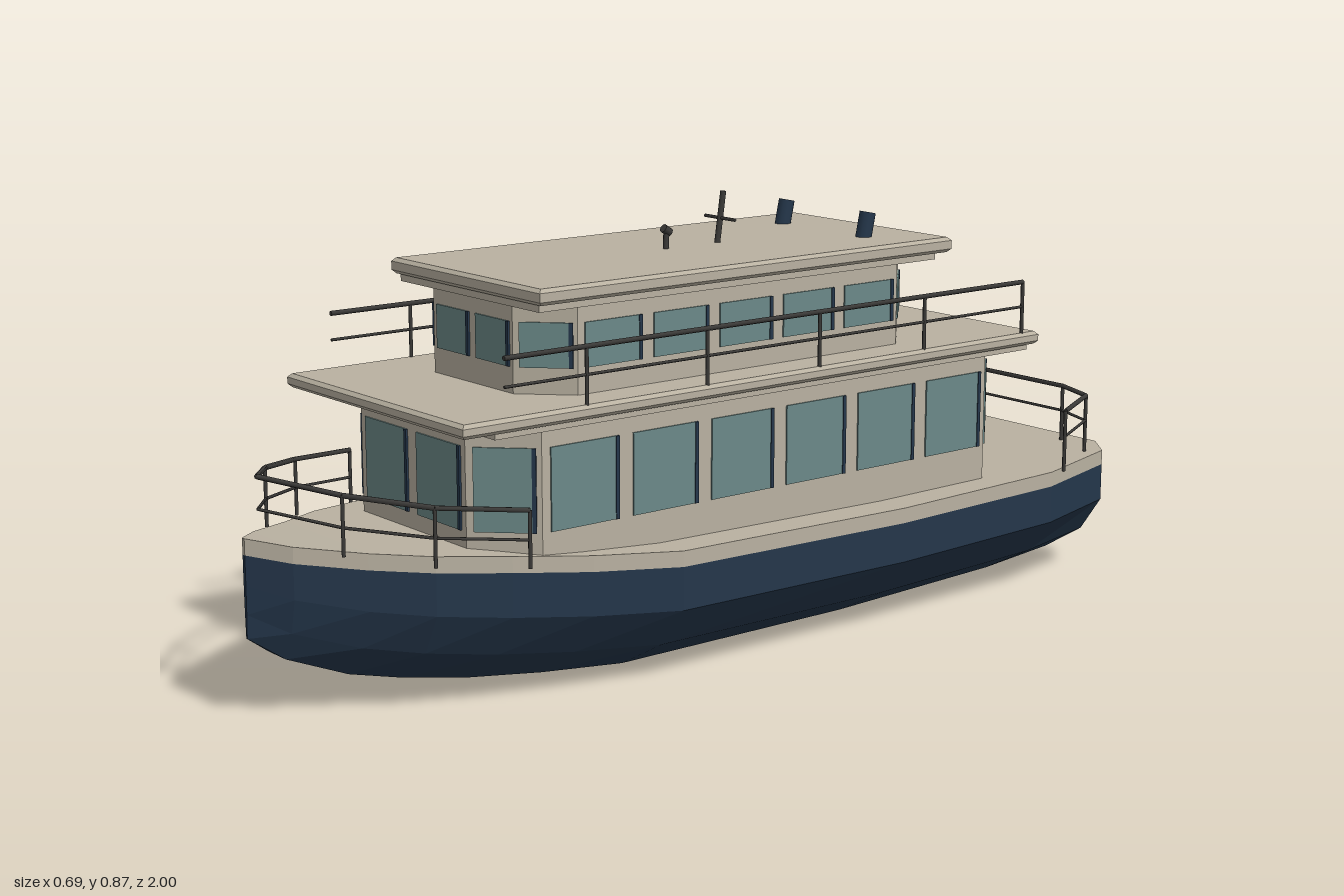
import * as THREE from 'three';

const mat = (name, color) => {
  const m = new THREE.MeshStandardMaterial({ color });
  m.name = name;
  return m;
};

export function createModel() {
  const cream = mat('cream paint', 0xb9b1a1);
  const navy = mat('navy paint', 0x24364a);
  const glass = mat('teal glass', 0x6b8988);
  const metal = mat('dark metal', 0x3b3a38);

  const boat = new THREE.Group();
  boat.name = 'passengerBoat';

  const add = (parent, name, geo, material, x = 0, y = 0, z = 0) => {
    const m = new THREE.Mesh(geo, material);
    m.name = name;
    m.position.set(x, y, z);
    parent.add(m);
    return m;
  };

  // Faceted skin over rings that run counterclockwise seen from +z
  const loft = (rings) => {
    const pos = [];
    const tri = (a, b, c) => pos.push(...a, ...b, ...c);
    const n = rings[0].length;
    for (let i = 0; i < rings.length - 1; i++) {
      for (let j = 0; j < n; j++) {
        const k = (j + 1) % n;
        const a = rings[i][j], b = rings[i][k], c = rings[i + 1][k], d = rings[i + 1][j];
        tri(a, b, d);
        tri(b, c, d);
      }
    }
    const first = rings[0], last = rings[rings.length - 1];
    for (let j = 1; j < n - 1; j++) {
      tri(first[0], first[j + 1], first[j]);
      tri(last[0], last[j], last[j + 1]);
    }
    const g = new THREE.BufferGeometry();
    g.setAttribute('position', new THREE.Float32BufferAttribute(pos, 3));
    g.computeVertexNormals();
    return g;
  };

  // Hull stations: z, half beam, keel height, deck height
  const stations = [
    [-1, 0.22, 0.022, 0.27], [-0.95, 0.285, 0.02, 0.268], [-0.74, 0.333, 0.012, 0.26],
    [-0.3, 0.346, 0, 0.256], [0.27, 0.346, 0, 0.266], [0.45, 0.307, 0.014, 0.28],
    [0.6, 0.263, 0.03, 0.295], [0.73, 0.21, 0.05, 0.306], [0.83, 0.145, 0.07, 0.315],
    [0.94, 0.07, 0.112, 0.33], [1, 0.004, 0.155, 0.342],
  ];
  const STRAKE = 0.031;
  // Cross-section as fractions of half beam and hull height
  const profile = [[0.45, 0], [0.81, 0.29], [1, 0.64], [1, 1]];
  const hullRings = stations.map(([z, b, keel, deck]) => {
    const h = deck - STRAKE - keel;
    const half = profile.map(([fx, fy]) => [fx * b, keel + fy * h, z]);
    return [...half, ...half.map(([x, y]) => [-x, y, z]).reverse()];
  });
  add(boat, 'hull', loft(hullRings), navy);
  const deckRings = stations.map(([z, b, , deck]) => [
    [-b, deck - STRAKE, z], [b, deck - STRAKE, z], [b, deck, z], [-b, deck, z],
  ]);
  add(boat, 'deckAndStrake', loft(deckRings), cream);

  // Upright prism from a plan outline of [x, z] points
  const prism = (plan, y0, y1, bevel = 0) => {
    const shape = new THREE.Shape(plan.map(([x, z]) => new THREE.Vector2(x, -z)));
    const g = new THREE.ExtrudeGeometry(shape, {
      depth: y1 - y0 - 2 * bevel, bevelEnabled: bevel > 0,
      bevelSize: bevel, bevelThickness: bevel, bevelOffset: -bevel, bevelSegments: 1,
    });
    g.rotateX(-Math.PI / 2);
    g.translate(0, y0 + bevel, 0);
    return g;
  };
  const rect = (w, zf, zb) => [[-w, zf], [w, zf], [w, zb], [-w, zb]];

  // Cabin with cut corners, a band of windows, a trim step and a roof
  const cabin = (name, o) => {
    const g = new THREE.Group();
    g.name = name;
    boat.add(g);
    const { w, c, zf, zb, d } = o;
    const plan = [
      [-c, zf], [c, zf], [w, zf - d], [w, zb + d],
      [c, zb], [-c, zb], [-w, zb + d], [-w, zf - d],
    ];
    add(g, 'walls', prism(plan, o.y0, o.trim), cream);
    add(g, 'roofTrim', prism(rect(w + 0.012, zf + 0.01, zb - 0.01), o.trim - 0.004, o.roof0 + 0.004), cream);
    add(g, 'roof', prism(rect(o.roofW, o.roofF, o.roofB), o.roof0, o.roof1, 0.007), cream);

    const counts = [2, 1, o.windows, 1, 2, 1, o.windows, 1];
    const h = o.win1 - o.win0, y = (o.win0 + o.win1) / 2;
    plan.forEach((p, i) => {
      const q = plan[(i + 1) % plan.length];
      const dx = q[0] - p[0], dz = q[1] - p[1];
      const pitch = Math.hypot(dx, dz) / counts[i], width = pitch * 0.8;
      const wall = new THREE.Group();
      wall.name = 'windowRow';
      wall.position.set(p[0], y, p[1]);
      wall.rotation.y = Math.atan2(-dz, dx);
      g.add(wall);
      for (let k = 0; k < counts[i]; k++) {
        const x = (k + 0.5) * pitch;
        add(wall, 'window', new THREE.BoxGeometry(width, h, 0.006), glass, x);
        add(wall, 'windowPost', new THREE.BoxGeometry(0.008, h, 0.009), navy, x + width / 2);
      }
    });
  };
  cabin('lowerCabin', {
    w: 0.273, c: 0.175, zf: 0.64, zb: -0.692, d: 0.1, y0: 0.24, trim: 0.525,
    roof0: 0.533, roof1: 0.56, roofW: 0.299, roofF: 0.727, roofB: -0.722,
    win0: 0.33, win1: 0.488, windows: 6,
  });
  cabin('upperCabin', {
    w: 0.216, c: 0.13, zf: 0.5, zb: -0.475, d: 0.085, y0: 0.55, trim: 0.73,
    roof0: 0.74, roof1: 0.771, roofW: 0.245, roofF: 0.52, roofB: -0.515,
    win0: 0.61, win1: 0.695, windows: 5,
  });

  // Straight round bar between two points
  const bar = (parent, name, a, b, r, material = metal, sides = 6) => {
    const p = new THREE.Vector3(...a), q = new THREE.Vector3(...b);
    const m = add(parent, name, new THREE.CylinderGeometry(r, r, p.distanceTo(q), sides), material);
    m.position.copy(p).add(q).multiplyScalar(0.5);
    m.quaternion.setFromUnitVectors(new THREE.Vector3(0, 1, 0), q.sub(p).normalize());
  };

  // Railing along [x, z, top, middle, foot] points; a null foot means no post
  const railing = (name, pts) => {
    const g = new THREE.Group();
    g.name = name;
    boat.add(g);
    pts.forEach(([x, z, top, mid, foot], i) => {
      if (foot !== null) bar(g, 'post', [x, foot, z], [x, top, z], 0.004);
      if (i === 0) return;
      const p = pts[i - 1];
      bar(g, 'topRail', [p[0], p[2], p[1]], [x, top, z], 0.005);
      bar(g, 'middleRail', [p[0], p[3], p[1]], [x, mid, z], 0.003);
    });
  };
  const mirrored = (half) => half.map(([x, ...rest]) => [-x, ...rest]).reverse();

  const bow = [[0.135, 0.875, 0.427, 0.368, 0.315], [0.24, 0.75, 0.405, 0.35, 0.295], [0.304, 0.59, 0.388, 0.333, 0.28]];
  railing('bowRailing', [...mirrored(bow), [0, 0.968, 0.45, 0.39, null], ...bow]);

  const stern = [[0.16, -0.955, 0.39, 0.335, 0.262], [0.262, -0.918, 0.39, 0.335, 0.262], [0.327, -0.783, 0.385, 0.33, 0.255]];
  railing('sternRailing', [...mirrored(stern), ...stern]);

  for (const s of [-1, 1]) {
    const side = [[s * 0.29, 0.632, 0.667, 0.615, null]];
    for (let i = 0; i < 5; i++) side.push([s * 0.29, 0.45 - i * 0.2825, 0.667, 0.615, 0.555]);
    railing('upperDeckRailing', side);
    // Exhaust funnels lean slightly aft
    bar(boat, 'funnel', [s * 0.125, 0.765, -0.38], [s * 0.125, 0.82, -0.392], 0.017, navy, 12);
  }

  // Mast with crossbar, and a short searchlight post
  bar(boat, 'mast', [0, 0.765, -0.096], [0, 0.874, -0.112], 0.006, metal, 8);
  bar(boat, 'mastCrossbar', [-0.047, 0.82, -0.104], [0.047, 0.82, -0.104], 0.0035);
  bar(boat, 'searchlightPost', [0, 0.765, 0.036], [0, 0.805, 0.034], 0.006, metal, 8);
  bar(boat, 'searchlight', [0, 0.802, 0.026], [0, 0.812, 0.042], 0.009, metal, 8);

  return boat;
}
